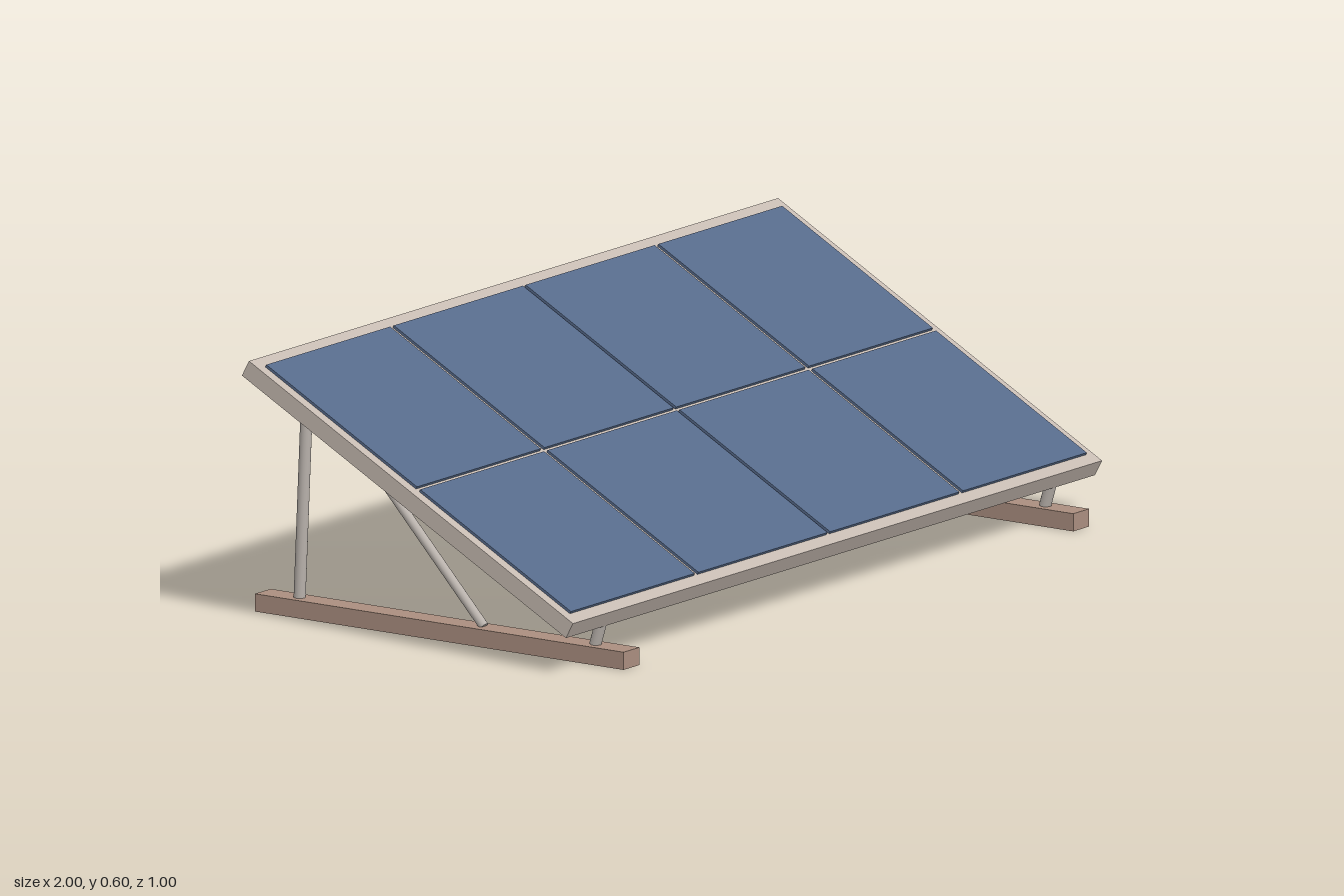
import * as THREE from 'three';

const mat = (name, color) => {
  const m = new THREE.MeshStandardMaterial({ color });
  m.name = name;
  return m;
};

export function createModel() {
  const aluminium = mat('warm aluminium', 0xc6bab1);
  const steel = mat('strut steel', 0xbab3ad);
  const cellBlue = mat('cell blue', 0x566a8a);
  const brown = mat('brown base', 0xab8f80);

  const model = new THREE.Group();
  model.name = 'solarPanel';

  const box = (parent, name, size, pos, material) => {
    const mesh = new THREE.Mesh(new THREE.BoxGeometry(...size), material);
    mesh.name = name;
    mesh.position.set(...pos);
    parent.add(mesh);
    return mesh;
  };

  // Round strut between two points in the plane at the given x, as [y, z]
  const strut = (parent, name, x, from, to, radius) => {
    const a = new THREE.Vector3(x, ...from);
    const b = new THREE.Vector3(x, ...to);
    const dir = b.clone().sub(a);
    const mesh = new THREE.Mesh(new THREE.CylinderGeometry(radius, radius, dir.length(), 16), steel);
    mesh.name = name;
    mesh.position.copy(a).add(b).multiplyScalar(0.5);
    mesh.quaternion.setFromUnitVectors(new THREE.Vector3(0, 1, 0), dir.normalize());
    parent.add(mesh);
  };

  // Tilted panel: slab with a grid of thin cell plates on top
  const panel = new THREE.Group();
  panel.name = 'panel';
  panel.position.set(0, 0.341, 0);
  panel.rotation.x = THREE.MathUtils.degToRad(28.5);
  model.add(panel);
  box(panel, 'panelFrame', [2, 0.04, 1], [0, 0, 0], aluminium);

  const columns = [[-0.975, -0.507], [-0.493, -0.005], [0.005, 0.493], [0.507, 0.975]];
  const rows = [[-0.47, -0.005], [0.005, 0.47]];
  for (const [x0, x1] of columns) {
    for (const [z0, z1] of rows) {
      box(panel, 'cell', [x1 - x0, 0.006, z1 - z0], [(x0 + x1) / 2, 0.023, (z0 + z1) / 2], cellBlue);
    }
  }

  // Two matching stands
  for (const side of [-1, 1]) {
    const x = side * 0.85;
    const stand = new THREE.Group();
    stand.name = side > 0 ? 'leftStand' : 'rightStand';
    model.add(stand);
    box(stand, 'groundRail', [0.06, 0.04, 1], [x, 0.02, 0], brown);
    strut(stand, 'rearLeg', x, [0.04, -0.4], [0.535, -0.378], 0.0135);
    strut(stand, 'frontLeg', x, [0.04, 0.402], [0.1, 0.42], 0.0135);
    strut(stand, 'brace', x, [0.04, 0.1], [0.505, -0.332], 0.011);
  }

  // Inverter box beside the left stand
  box(model, 'inverterBox', [0.2, 0.1, 0.14], [0.6, 0.222, -0.198], brown);

  return model;
}
